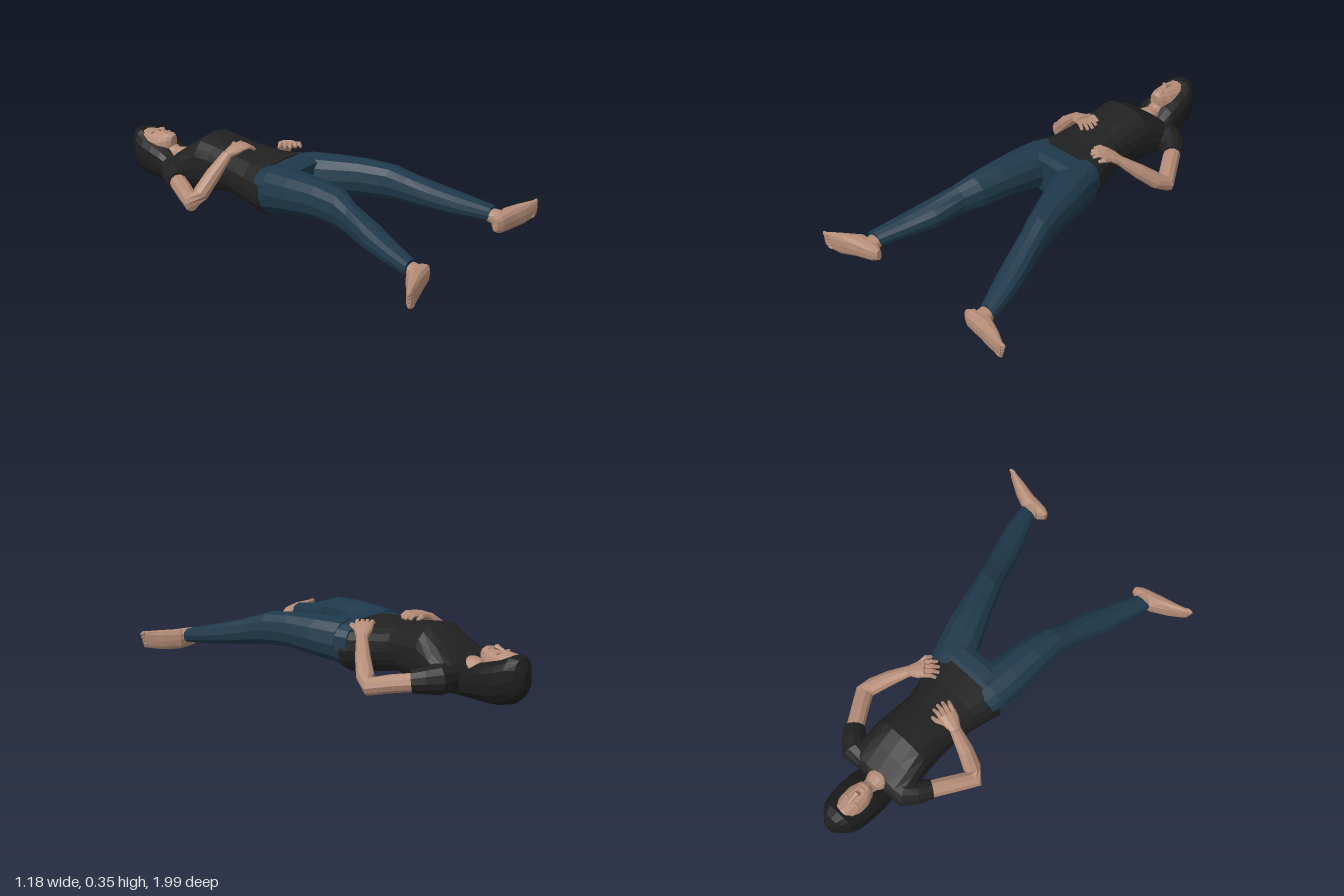
import * as THREE from 'three';

const material = (name, color) => {
  const m = new THREE.MeshStandardMaterial({ color });
  m.name = name;
  return m;
};
const V = (x, y, z) => new THREE.Vector3(x, y, z);
const spow = (c, e) => Math.sign(c) * Math.abs(c) ** (2 / e);

// Closed faceted skin over a list of rings, always wound outwards
function skinRings(rings) {
  const n = rings[0].length, tris = [];
  const centre = r => r.reduce((s, p) => s.add(p), V(0, 0, 0)).divideScalar(n);
  const first = centre(rings[0]), last = centre(rings[rings.length - 1]);
  for (let j = 0; j < n; j++) {
    const k = (j + 1) % n;
    tris.push([first, rings[0][k], rings[0][j]]);
    for (let i = 0; i + 1 < rings.length; i++) {
      const a = rings[i], b = rings[i + 1];
      tris.push([a[j], a[k], b[k]], [a[j], b[k], b[j]]);
    }
    tris.push([last, rings[rings.length - 1][j], rings[rings.length - 1][k]]);
  }
  let volume = 0;
  for (const [a, b, c] of tris) {
    volume += a.clone().sub(first).dot(b.clone().sub(first).cross(c.clone().sub(first)));
  }
  const pos = [];
  for (const t of tris) {
    for (const p of volume < 0 ? [t[0], t[2], t[1]] : t) pos.push(p.x, p.y, p.z);
  }
  const geo = new THREE.BufferGeometry();
  geo.setAttribute('position', new THREE.Float32BufferAttribute(pos, 3));
  geo.computeVertexNormals();
  return geo;
}

// Loft along z or x; rows are [station, sideLow, sideHigh, yLow, yHigh]
function slabLoft(axis, rows, top = 2.4, bottom = 2.2, n = 16) {
  return skinRings(rows.map(([s, a, b, lo, hi]) => Array.from({ length: n }, (_, j) => {
    const t = (j / n) * Math.PI * 2, c = Math.cos(t), d = Math.sin(t);
    const e = d > 0 ? top : bottom;
    const side = (a + b) / 2 + (b - a) / 2 * spow(c, e);
    const y = (lo + hi) / 2 + (hi - lo) / 2 * spow(d, e);
    return axis === 'z' ? V(side, y, s) : V(s, y, side);
  })));
}

// Loft along a bent path; points are [x, y, z, halfWidth, halfHeight]
function pathLoft(points, n = 10) {
  const p = points.map(q => V(q[0], q[1], q[2]));
  return skinRings(points.map(([, , , w, h = w], i) => {
    const next = p[Math.min(i + 1, p.length - 1)], prev = p[Math.max(i - 1, 0)];
    const t = next.clone().sub(prev).normalize();
    const u = V(0, 1, 0).cross(t).normalize(), v = t.clone().cross(u);
    return Array.from({ length: n }, (_, j) => {
      const a = (j / n) * Math.PI * 2;
      return p[i].clone().addScaledVector(u, w * Math.cos(a)).addScaledVector(v, h * Math.sin(a));
    });
  }));
}

export function createModel() {
  const skin = material('skin', 0xb48c77);
  const shirt = material('shirt black', 0x212121);
  const denim = material('denim blue', 0x1f394b);
  const hairMat = material('hair black', 0x1d1d1d);
  const model = new THREE.Group();
  model.name = 'recliningFigure';
  const add = (name, geo, mat) => {
    const m = new THREE.Mesh(geo, mat);
    m.name = name;
    model.add(m);
    return m;
  };

  // Head, neck and hair
  add('head', slabLoft('z', [
    [-0.738, -0.1, -0.055, 0.21, 0.278], [-0.755, -0.118, -0.037, 0.16, 0.29],
    [-0.8, -0.14, -0.015, 0.12, 0.288], [-0.86, -0.148, -0.008, 0.1, 0.287],
    [-0.91, -0.142, -0.014, 0.1, 0.284], [-0.95, -0.11, -0.045, 0.14, 0.262],
  ], 2.3), skin);
  add('neck', slabLoft('z', [
    [-0.62, -0.13, -0.015, 0.1, 0.225], [-0.68, -0.13, -0.015, 0.1, 0.226],
    [-0.72, -0.118, -0.028, 0.1, 0.22], [-0.78, -0.115, -0.035, 0.1, 0.25],
  ]), skin);
  add('hair', slabLoft('z', [
    [-0.6, -0.13, -0.01, 0.05, 0.085], [-0.65, -0.16, 0.02, 0.048, 0.13],
    [-0.7, -0.175, 0.038, 0.048, 0.185], [-0.76, -0.18, 0.043, 0.048, 0.225],
    [-0.82, -0.178, 0.042, 0.048, 0.247], [-0.88, -0.172, 0.035, 0.052, 0.265],
    [-0.93, -0.158, 0.02, 0.065, 0.286], [-0.97, -0.128, -0.012, 0.1, 0.28],
    [-0.998, -0.095, -0.045, 0.14, 0.235],
  ], 2.8, 2.4), hairMat);
  add('nose', pathLoft([
    [-0.078, 0.28, -0.865, 0.008, 0.006], [-0.078, 0.291, -0.835, 0.01, 0.009],
    [-0.078, 0.297, -0.812, 0.015, 0.012], [-0.078, 0.284, -0.8, 0.013, 0.006],
  ], 6), skin);
  add('lips', new THREE.SphereGeometry(1, 8, 5).scale(0.022, 0.006, 0.01).translate(-0.078, 0.288, -0.78), skin);
  for (const s of [-1, 1]) {
    add(s < 0 ? 'rightEyelid' : 'leftEyelid',
      new THREE.SphereGeometry(1, 8, 5).scale(0.016, 0.007, 0.008).translate(-0.078 + s * 0.03, 0.281, -0.85), skin);
  }

  // Shirt body
  add('shirtBody', slabLoft('z', [
    [-0.7, -0.16, 0.02, 0.09, 0.185], [-0.67, -0.225, 0.11, 0.065, 0.218],
    [-0.58, -0.225, 0.115, 0.053, 0.285], [-0.49, -0.215, 0.105, 0.05, 0.346],
    [-0.41, -0.212, 0.097, 0.065, 0.335], [-0.3, -0.215, 0.09, 0.085, 0.316],
    [-0.17, -0.237, 0.125, 0.055, 0.303], [-0.055, -0.268, 0.168, 0.033, 0.3],
  ], 2.5, 2.3, 20), shirt);

  // Trousers: pelvis and two legs
  add('pelvis', slabLoft('z', [
    [-0.09, -0.255, 0.155, 0.045, 0.29], [-0.03, -0.27, 0.175, 0.035, 0.296],
    [0.03, -0.265, 0.18, 0.06, 0.296], [0.065, -0.2, 0.12, 0.11, 0.28],
  ], 3.6, 2, 20), denim);
  add('rightLeg', slabLoft('z', [
    [-0.03, -0.272, -0.05, 0.08, 0.298], [0.1, -0.28, -0.075, 0.1, 0.3],
    [0.25, -0.28, -0.105, 0.12, 0.297], [0.38, -0.285, -0.14, 0.115, 0.282],
    [0.46, -0.302, -0.185, 0.107, 0.25], [0.6, -0.355, -0.215, 0.085, 0.205],
    [0.72, -0.388, -0.27, 0.075, 0.17], [0.855, -0.42, -0.33, 0.065, 0.138],
  ], 2.3, 2.2, 12), denim);
  add('leftLeg', slabLoft('z', [
    [-0.03, -0.03, 0.178, 0.08, 0.298], [0.1, 0.012, 0.22, 0.1, 0.3],
    [0.25, 0.083, 0.25, 0.12, 0.297], [0.38, 0.14, 0.28, 0.115, 0.282],
    [0.46, 0.172, 0.302, 0.107, 0.25], [0.58, 0.21, 0.345, 0.09, 0.21],
    [0.7, 0.257, 0.38, 0.077, 0.175], [0.835, 0.317, 0.405, 0.065, 0.138],
  ], 2.3, 2.2, 12), denim);

  // Bare feet, splayed outwards
  add('rightAnkle', slabLoft('z', [
    [0.82, -0.405, -0.33, 0.072, 0.128], [0.9, -0.41, -0.33, 0.045, 0.118],
  ]), skin);
  add('leftAnkle', slabLoft('z', [
    [0.8, 0.318, 0.39, 0.072, 0.128], [0.88, 0.318, 0.4, 0.045, 0.125],
  ]), skin);
  add('rightFoot', slabLoft('x', [
    [-0.298, 0.878, 0.905, 0.045, 0.1], [-0.33, 0.862, 0.925, 0.03, 0.115],
    [-0.42, 0.862, 0.95, 0.015, 0.124], [-0.5, 0.915, 0.97, 0, 0.115],
    [-0.56, 0.955, 0.986, 0.016, 0.106], [-0.575, 0.966, 0.988, 0.028, 0.1],
  ], 2.6, 2.6, 12), skin);
  add('leftFoot', slabLoft('x', [
    [0.287, 0.878, 0.902, 0.05, 0.11], [0.315, 0.855, 0.918, 0.033, 0.122],
    [0.41, 0.85, 0.93, 0.026, 0.128], [0.485, 0.885, 0.946, 0.032, 0.132],
    [0.55, 0.925, 0.955, 0.048, 0.134], [0.565, 0.934, 0.957, 0.06, 0.13],
  ], 2.6, 2.6, 12), skin);
  for (let i = 0; i < 5; i++) {
    const r = 0.008 + 0.0015 * i;
    const toe = () => new THREE.SphereGeometry(1, 8, 6).scale(0.022, r, 0.009);
    add('rightToe', toe().translate(-0.552 - 0.005 * i, 0.026 + 0.0165 * i, 0.976 + 0.001 * i), skin);
    add('leftToe', toe().translate(0.545 + 0.005 * i, 0.056 + 0.0165 * i, 0.945), skin);
  }

  // Sleeves and bent arms
  add('rightSleeve', pathLoft([
    [-0.12, 0.145, -0.65, 0.05, 0.065], [-0.2, 0.148, -0.635, 0.07, 0.072],
    [-0.24, 0.145, -0.595, 0.058, 0.062], [-0.277, 0.138, -0.538, 0.049, 0.052],
  ], 12), shirt);
  add('leftSleeve', pathLoft([
    [0.03, 0.145, -0.65, 0.05, 0.065], [0.11, 0.148, -0.64, 0.07, 0.072],
    [0.155, 0.145, -0.61, 0.058, 0.062], [0.195, 0.138, -0.565, 0.049, 0.052],
  ], 12), shirt);
  add('rightArm', pathLoft([
    [-0.262, 0.138, -0.56, 0.042], [-0.33, 0.125, -0.45, 0.042],
    [-0.385, 0.108, -0.355, 0.045, 0.042], [-0.345, 0.145, -0.335, 0.042, 0.04],
    [-0.28, 0.225, -0.312, 0.038], [-0.195, 0.31, -0.29, 0.027, 0.023],
  ]), skin);
  add('leftArm', pathLoft([
    [0.18, 0.138, -0.585, 0.042], [0.24, 0.122, -0.49, 0.042],
    [0.295, 0.1, -0.4, 0.045, 0.042], [0.275, 0.13, -0.355, 0.042, 0.04],
    [0.225, 0.195, -0.285, 0.036], [0.165, 0.262, -0.215, 0.027, 0.023],
  ]), skin);

  // Hands resting on the belly: palm, four fingers and a thumb
  function hand(name, wrist, knuckle, tip, thumbSide) {
    const w = V(...wrist), k = V(...knuckle), t = V(...tip);
    const across = V(0, 1, 0).cross(t.clone().sub(w)).normalize();
    const at = (p, s, dy = 0) => {
      const q = p.clone().addScaledVector(across, s);
      return [q.x, q.y + dy, q.z];
    };
    const mid = w.clone().lerp(k, 0.55);
    add(name + 'Palm', pathLoft([
      [...wrist, 0.026, 0.021], [...at(mid, 0), 0.042, 0.021], [...knuckle, 0.045, 0.015],
    ], 10), skin);
    for (let i = 0; i < 4; i++) {
      const s = (i - 1.5) * 0.023, end = k.clone().lerp(t, i === 0 || i === 3 ? 0.82 : 1);
      add(name + 'Finger', pathLoft([
        [...at(k.clone().lerp(w, 0.2), s * 0.9), 0.011], [...at(k.clone().lerp(end, 0.5), s, 0.006), 0.011],
        [...at(end, s * 1.15, -0.006), 0.008],
      ], 6), skin);
    }
    add(name + 'Thumb', pathLoft([
      [...at(mid, thumbSide * 0.025), 0.014], [...at(k, thumbSide * 0.058, -0.006), 0.012],
      [...at(k.clone().lerp(t, 0.4), thumbSide * 0.064, -0.012), 0.008],
    ], 6), skin);
  }
  hand('rightHand', [-0.2, 0.308, -0.29], [-0.125, 0.336, -0.268], [-0.063, 0.322, -0.25], 1);
  hand('leftHand', [0.168, 0.26, -0.218], [0.108, 0.307, -0.168], [0.058, 0.306, -0.128], 1);

  return model;
}
